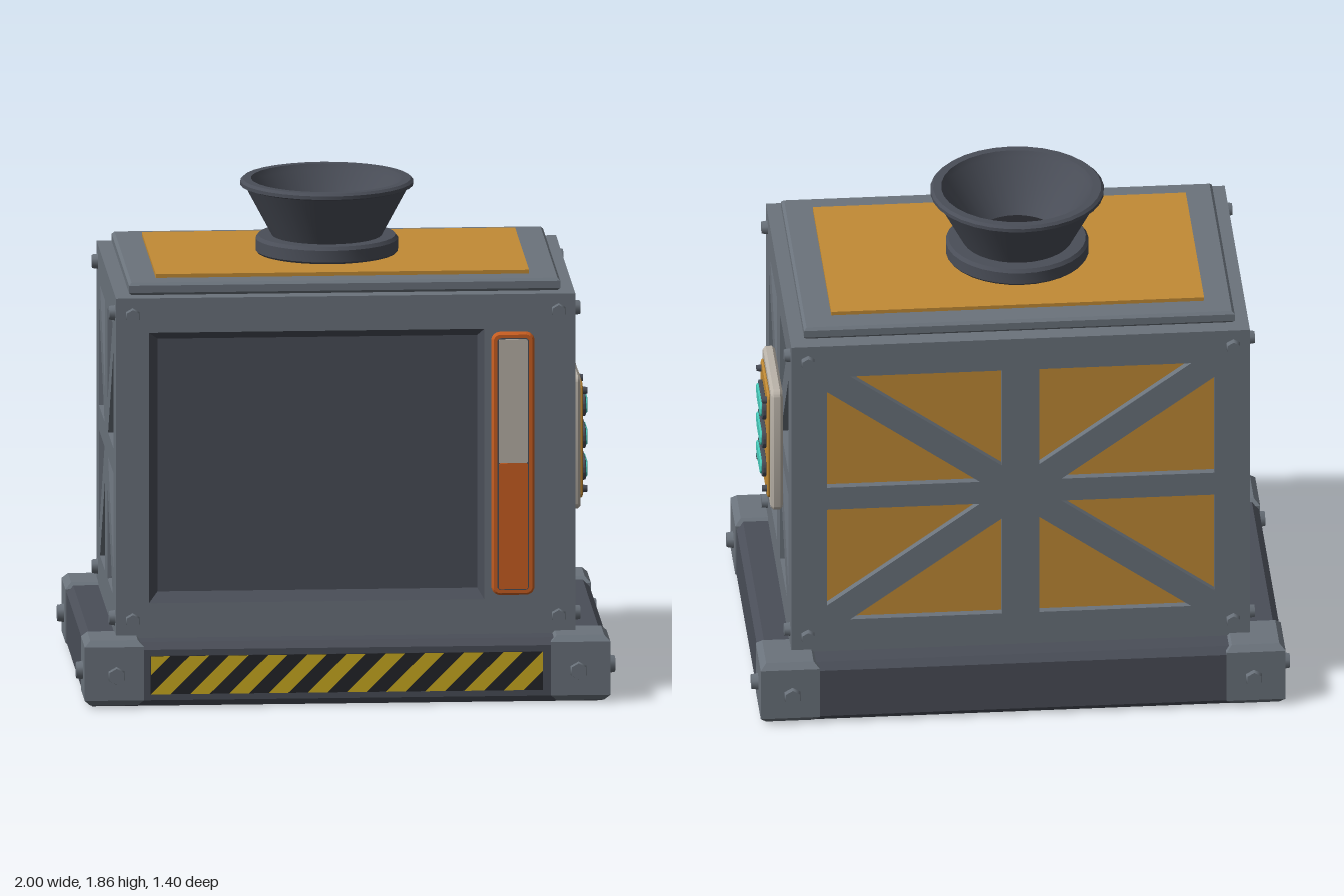
import * as THREE from 'three';
import { toCreasedNormals } from 'three/addons/utils/BufferGeometryUtils.js';

const mat = (name, color) => Object.assign(new THREE.MeshStandardMaterial({ color }), { name });
const M = {
  steel: mat('steel grey', 0x6b737c),
  dark: mat('dark slate', 0x4a4e58),
  black: mat('black', 0x24252a),
  mustard: mat('mustard panel', 0xc28b35),
  orange: mat('orange', 0xcc6022),
  beige: mat('pale beige', 0xbab3a9),
  teal: mat('teal glow', 0x48cbbb),
  yellow: mat('hazard yellow', 0xcdad20),
};

function add(parent, name, geo, material, x = 0, y = 0, z = 0) {
  const mesh = new THREE.Mesh(geo, material);
  mesh.name = name;
  mesh.position.set(x, y, z);
  parent.add(mesh);
  return mesh;
}

function group(parent, name) {
  const g = new THREE.Group();
  g.name = name;
  parent.add(g);
  return g;
}

const poly = (pts, Type = THREE.Shape) => new Type(pts.map(p => new THREE.Vector2(...p)));
const rect = (x0, y0, x1, y1) => [[x0, y0], [x1, y0], [x1, y1], [x0, y1]];

// Rounded plate facing +z, back at z = 0, with chamfer c on the outline
function plate(w, h, d, r = 0, c = 0, bothSides = false) {
  const a = w / 2 - c, b = h / 2 - c;
  let s;
  if (r > 0) {
    s = new THREE.Shape();
    s.absarc(a - r, b - r, r, 0, Math.PI / 2);
    s.absarc(r - a, b - r, r, Math.PI / 2, Math.PI);
    s.absarc(r - a, r - b, r, Math.PI, Math.PI * 1.5);
    s.absarc(a - r, r - b, r, Math.PI * 1.5, Math.PI * 2);
  } else s = poly(rect(-a, -b, a, b));
  const geo = new THREE.ExtrudeGeometry(s, {
    depth: bothSides || c ? d - 2 * c : d, bevelEnabled: c > 0,
    bevelSize: c, bevelThickness: c, bevelSegments: 1, curveSegments: 6,
  });
  geo.translate(0, 0, c);
  return toCreasedNormals(geo, 0.5);
}

// Block standing on y = 0 with chamfered top and bottom edges
const slab = (w, h, d, c) => plate(w, d, h, 0, c).rotateX(-Math.PI / 2);

// Wall pierced by eight triangles, leaving cross and diagonal braces
function trussWall(halfWidth, a, t) {
  const cy = 0.88, hh = 0.51, bx = 0.07, by = 0.046;
  const m = hh / a, v = 0.05 * Math.hypot(1, m);
  const s = poly(rect(-halfWidth, 0.2, halfWidth, 1.52));
  for (const sx of [-1, 1]) for (const sy of [-1, 1]) {
    const upper = [[bx, hh], [(hh - v) / m, hh], [bx, m * bx + v]];
    const lower = [[a, by], [a, m * a - v], [(by + v) / m, by]];
    for (const tri of [upper, lower])
      s.holes.push(poly(tri.map(([x, y]) => [sx * x, cy + sy * y]), THREE.Path));
  }
  return new THREE.ExtrudeGeometry(s, { depth: t, bevelEnabled: false });
}

// Hex bolt pointing along +z
const boltGeo = (r, d) => new THREE.CylinderGeometry(r * 0.85, r, d, 6).rotateX(Math.PI / 2);

// Sloped inner walls between an outer rectangle at z0 and an inner one at z1
function slopedRim(outer, inner, z0, z1) {
  const pos = [];
  for (let i = 0; i < 4; i++) {
    const j = (i + 1) % 4;
    const A = [...outer[i], z0], B = [...outer[j], z0], C = [...inner[j], z1], D = [...inner[i], z1];
    pos.push(...A, ...B, ...C, ...A, ...C, ...D);
  }
  const geo = new THREE.BufferGeometry();
  geo.setAttribute('position', new THREE.Float32BufferAttribute(pos, 3));
  geo.computeVertexNormals();
  return geo;
}

// Keeps the part of a polygon on one side of a vertical line
function clipX(pts, limit, sign) {
  const out = [];
  pts.forEach((p, i) => {
    const q = pts[(i + 1) % pts.length];
    const dp = sign * (p[0] - limit), dq = sign * (q[0] - limit);
    if (dp >= 0) out.push(p);
    if (dp * dq < 0) {
      const k = dp / (dp - dq);
      out.push([limit, p[1] + k * (q[1] - p[1])]);
    }
  });
  return out;
}

export function createModel() {
  const model = new THREE.Group();
  model.name = 'machine';
  const BX = 0.852, BZ = 0.567, T = 0.03;

  // Base with four corner guards
  const base = group(model, 'base');
  add(base, 'basePlinth', slab(1.94, 0.24, 1.345, 0.025), M.dark);
  for (const sx of [-1, 1]) for (const sz of [-1, 1]) {
    add(base, 'cornerGuard', slab(0.22, 0.245, 0.225, 0.022), M.steel, sx * 0.865, 0.005, sz * 0.57);
    add(base, 'baseBoltEnd', boltGeo(0.036, 0.03), M.steel, sx * 0.857, 0.12, sz * 0.687)
      .rotation.y = sz > 0 ? 0 : Math.PI;
    add(base, 'baseBoltSide', boltGeo(0.036, 0.03), M.steel, sx * 0.985, 0.12, sz * 0.557)
      .rotation.y = sx * Math.PI / 2;
  }

  // Hazard strip
  const strip = group(model, 'hazardStrip');
  const x0 = -0.73, x1 = 0.725, y0 = 0.048, y1 = 0.192, h = y1 - y0, pitch = 0.1455;
  add(strip, 'stripBacking', new THREE.BoxGeometry(x1 - x0, h, 0.008), M.black, (x0 + x1) / 2, 0.12, 0.675);
  for (let i = -1; i < 10; i++) {
    const s = x0 + i * pitch, w = pitch / 2;
    const pts = clipX(clipX([[s, y0], [s + w, y0], [s + w + h, y1], [s + h, y1]], x0, 1), x1, -1);
    if (pts.length > 2) add(strip, 'yellowStripe', new THREE.ShapeGeometry(poly(pts)), M.yellow, 0, 0, 0.681);
  }

  // Body core and braced walls
  const body = group(model, 'body');
  add(body, 'innerPanels', new THREE.BoxGeometry(2 * (BX - T), 1.27, 1.035), M.mustard, 0, 0.855, -0.02);
  add(body, 'bodyCap', new THREE.BoxGeometry(2 * (BX - T), 0.03, 2 * (BZ - T)), M.steel, 0, 1.505, 0);
  add(body, 'backWall', trussWall(BX, 0.72, T), M.steel, 0, 0, T - BZ).rotation.y = Math.PI;
  for (const s of [-1, 1])
    add(body, 'sideWall', trussWall(BZ - T, 0.435, T), M.steel, s * (BX - T), 0, 0).rotation.y = s * Math.PI / 2;

  // Front wall with a sunken screen
  const outer = rect(-0.73, 0.37, 0.515, 1.39), inner = rect(-0.695, 0.405, 0.492, 1.358);
  const front = poly(rect(-BX, 0.2, BX, 1.52));
  front.holes.push(poly(outer, THREE.Path));
  add(body, 'frontWall', new THREE.ExtrudeGeometry(front, { depth: T, bevelEnabled: false }), M.steel, 0, 0, BZ - T);
  add(body, 'screenRim', slopedRim(outer, inner, BZ, BZ - 0.05), M.dark);
  add(body, 'screen', new THREE.ShapeGeometry(poly(inner)), M.dark, 0, 0, BZ - 0.05);

  // Body bolts
  for (const sx of [-1, 1]) for (const sz of [-1, 1]) for (const y of [0.305, 1.455]) {
    add(body, 'bodyBoltEnd', boltGeo(0.03, 0.03), M.steel, sx * 0.79, y, sz * (BZ + 0.007))
      .rotation.y = sz > 0 ? 0 : Math.PI;
    add(body, 'bodyBoltSide', boltGeo(0.03, 0.03), M.steel, sx * (BX + 0.007), y, sz * 0.503)
      .rotation.y = sx * Math.PI / 2;
  }

  // Lid
  add(model, 'lid', slab(1.6, 0.047, 1.02, 0.01), M.steel, 0, 1.52, 0);
  add(model, 'lidPanel', new THREE.BoxGeometry(1.385, 0.016, 0.825), M.mustard, -0.002, 1.573, 0);

  // Funnel
  const profile = [[0.255, 1.575], [0.265, 1.588], [0.265, 1.632], [0.255, 1.645], [0.205, 1.645],
    [0.303, 1.828], [0.322, 1.835], [0.322, 1.848], [0.312, 1.857], [0.282, 1.857], [0.272, 1.835], [0.145, 1.655]];
  const funnel = group(model, 'funnel');
  const lathe = new THREE.LatheGeometry(profile.map(p => new THREE.Vector2(...p)), 32);
  add(funnel, 'funnelShell', toCreasedNormals(lathe, 0.4), M.dark, -0.034, 0, 0);
  add(funnel, 'funnelThroat', new THREE.CircleGeometry(0.147, 32).rotateX(-Math.PI / 2), M.black, -0.034, 1.657, 0);

  // Tall front gauge
  const gauge = group(model, 'gauge');
  add(gauge, 'gaugeHousing', plate(0.16, 0.99, 0.03, 0.025, 0.008), M.orange, 0.62, 0.885, BZ);
  add(gauge, 'gaugeGroove', plate(0.118, 0.95, 0.002, 0.015), M.dark, 0.62, 0.885, BZ + 0.03);
  add(gauge, 'gaugeFill', plate(0.108, 0.475, 0.007, 0.008), M.orange, 0.62, 0.652, BZ + 0.031);
  add(gauge, 'gaugeWindow', plate(0.108, 0.468, 0.004, 0.008), M.beige, 0.62, 1.122, BZ + 0.031);

  // Control panel on the left side
  const panel = group(model, 'controlPanel');
  panel.position.set(BX, 0.883, 0);
  panel.rotation.y = Math.PI / 2;
  add(panel, 'panelFrame', plate(0.39, 0.505, 0.044, 0.022, 0.01), M.beige);
  add(panel, 'panelFace', plate(0.31, 0.435, 0.012, 0.02, 0.004), M.mustard, 0, 0, 0.042);
  for (const y of [-0.12, 0, 0.12]) {
    add(panel, 'lampRim', plate(0.215, 0.086, 0.017, 0.038, 0.003), M.dark, 0, y, 0.052);
    add(panel, 'lamp', plate(0.19, 0.062, 0.01, 0.027, 0.003), M.teal, 0, y, 0.066);
  }
  for (const x of [-0.126, 0.126]) for (const y of [-0.185, 0.185])
    add(panel, 'panelScrew', boltGeo(0.015, 0.02), M.dark, x, y, 0.062);

  return model;
}
